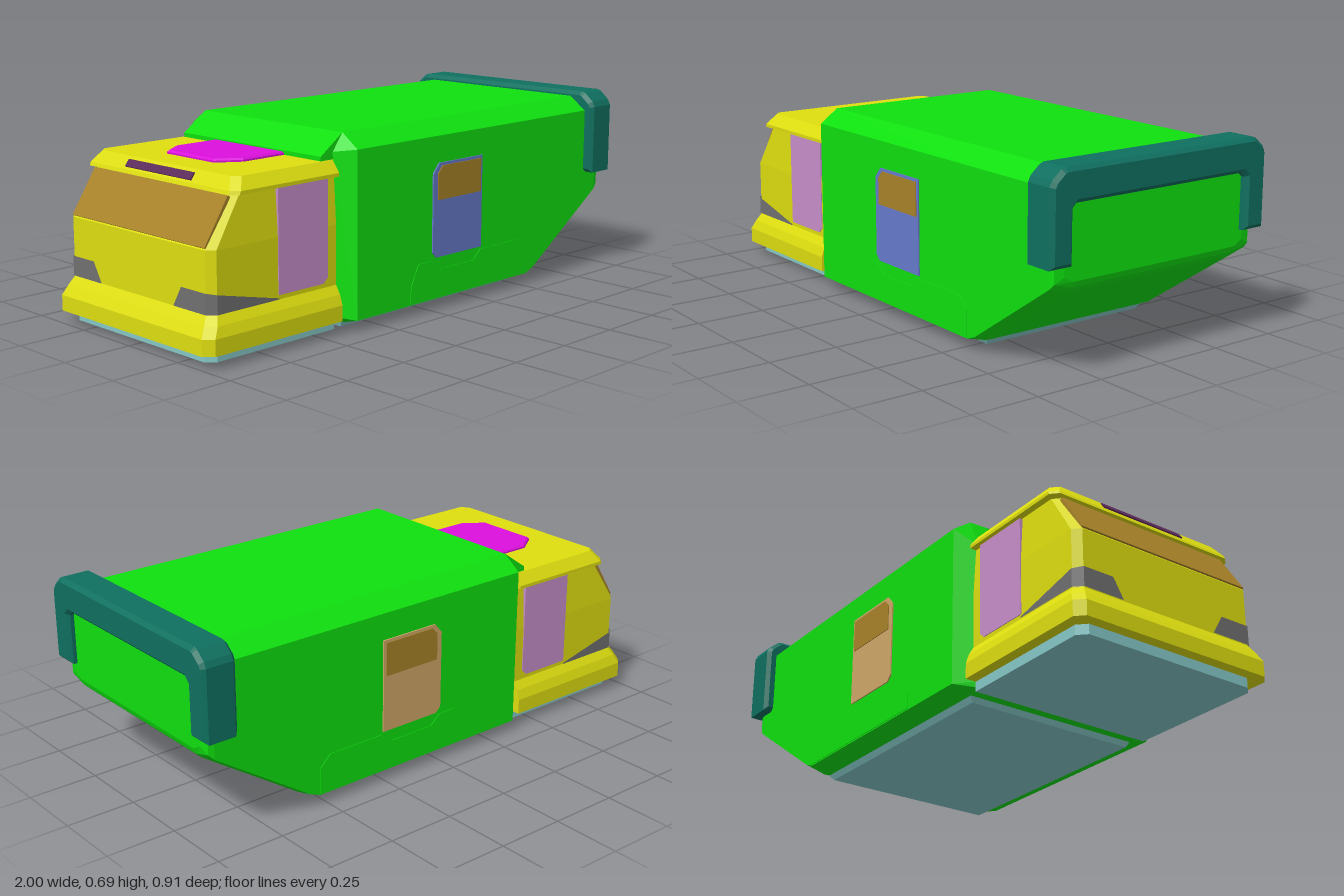
import * as THREE from 'three';

const mat = (color) => new THREE.MeshStandardMaterial({ color, flatShading: true });
const M = {
  green: mat(0x0fe00f), yellow: mat(0xdede10), teal: mat(0x0f7060), floor: mat(0x86c8c8),
  magenta: mat(0xdd10dd), lilac: mat(0xc88fcc), brown: mat(0xa88328), grey: mat(0x707070),
  blue: mat(0x667acc), tan: mat(0xd0a868), purple: mat(0x5a2a5a),
};

function add(parent, name, geometry, material) {
  const mesh = new THREE.Mesh(geometry, material);
  mesh.name = name;
  parent.add(mesh);
  return mesh;
}

// Skin a list of equal-length rings of [x, y, z] points, with flat end caps.
function loft(rings) {
  const pos = [];
  const tri = (a, b, c) => pos.push(...a, ...b, ...c);
  const n = rings[0].length;
  for (let r = 0; r < rings.length - 1; r++) {
    for (let i = 0; i < n; i++) {
      const j = (i + 1) % n, p = rings[r], q = rings[r + 1];
      tri(p[i], p[j], q[j]);
      tri(p[i], q[j], q[i]);
    }
  }
  const first = rings[0], last = rings[rings.length - 1];
  for (let i = 1; i < n - 1; i++) {
    tri(first[0], first[i + 1], first[i]);
    tri(last[0], last[i], last[i + 1]);
  }
  const g = new THREE.BufferGeometry();
  g.setAttribute('position', new THREE.Float32BufferAttribute(pos, 3));
  g.computeVertexNormals();
  return g;
}

// Chamfered upright section of the body at x.
const bodyRing = (x, w, top, bottom, inX = x) => [
  [x, top, -0.35], [x, top, 0.35], [x, top - 0.05, w], [x, bottom + 0.02, w],
  [inX, bottom, 0.345], [inX, bottom, -0.345], [x, bottom + 0.02, -w], [x, top - 0.05, -w],
];

// Level outline of the cab with chamfered front corners.
const cabRing = (y, front, w, c, back = -0.42) => [
  [front, y, w - c], [front + c, y, w], [back, y, w],
  [back, y, -w], [front + c, y, -w], [front, y, -w + c],
];

const extrude = (pts, depth, bevel = 0) =>
  new THREE.ExtrudeGeometry(new THREE.Shape(pts.map((p) => new THREE.Vector2(...p))), {
    depth, bevelEnabled: bevel > 0, bevelSize: bevel, bevelThickness: bevel, bevelOffset: -bevel, bevelSegments: 1,
  });

// Thin plate on one side wall; its outer face lies at |z| = z.
function sidePlate(parent, name, pts, z, side, material) {
  const depth = 0.02;
  add(parent, name, extrude(pts, depth), material).position.z = side > 0 ? z - depth : -z;
}

export function createModel() {
  const model = new THREE.Group();
  model.name = 'vehicle';

  // Rear body with chamfered edges and a rising tail
  const body = new THREE.Group();
  body.name = 'rearBody';
  model.add(body);
  add(body, 'bodyShell', loft([
    bodyRing(-0.415, 0.35, 0.61, 0.03),
    bodyRing(-0.37, 0.42, 0.67, 0.02),
    bodyRing(0.53, 0.42, 0.67, 0.02),
    bodyRing(0.57, 0.42, 0.67, 0.035),
    bodyRing(0.945, 0.42, 0.67, 0.285),
    bodyRing(0.965, 0.415, 0.66, 0.305),
    bodyRing(0.972, 0.38, 0.65, 0.325),
  ]), M.green);
  add(body, 'roofLip', extrude([[-0.47, 0.585], [-0.36, 0.585], [-0.36, 0.67], [-0.37, 0.67], [-0.47, 0.6]], 0.7), M.green)
    .position.z = -0.35;
  add(body, 'bodyFloor', loft([
    [0, -0.36, 0.52, 0.33], [0.025, -0.37, 0.54, 0.345],
  ].map(([y, x0, x1, w]) => [[x0, y, w], [x1, y, w], [x1, y, -w], [x0, y, -w]])), M.floor);

  // Side doors with windows, and shallow skirts
  for (const side of [1, -1]) {
    sidePlate(body, 'skirt', [[-0.11, 0.045], [0.53, 0.045], [0.53, 0.14], [0.49, 0.18], [0.26, 0.18], [0.22, 0.145],
      [0.04, 0.145], [0, 0.18], [-0.07, 0.18], [-0.105, 0.11]], 0.422, side, M.green);
    sidePlate(body, 'sideDoor', [[0.02, 0.19], [0.26, 0.19], [0.26, 0.525], [0.03, 0.525], [0, 0.49], [0, 0.21]],
      0.425, side, side > 0 ? M.blue : M.tan);
    sidePlate(body, 'doorWindow', [[0.022, 0.395], [0.25, 0.395], [0.25, 0.515], [0.045, 0.515], [0.022, 0.49]],
      0.428, side, M.brown);
  }

  // Arch frame over the tail
  const half = [[0.365, 0.38], [0.455, 0.38], [0.455, 0.635], [0.445, 0.655], [0.41, 0.685], [0.395, 0.69]];
  const inner = [[0.35, 0.575], [0.365, 0.56]];
  const flip = (pts) => pts.map(([z, y]) => [-z, y]).reverse();
  const arch = add(model, 'tailArch', extrude([...half, ...flip(half), ...flip(inner), ...inner], 0.1, 0.014), M.teal);
  arch.rotation.y = Math.PI / 2;
  arch.position.x = 0.886;

  // Cab: floor, bumper, walls and roof
  const cab = new THREE.Group();
  cab.name = 'cab';
  model.add(cab);
  add(cab, 'cabFloor', loft([cabRing(0.01, -0.96, 0.36, 0.03), cabRing(0.05, -0.96, 0.36, 0.03)]), M.floor);
  add(cab, 'bumper', loft([
    cabRing(0.045, -1, 0.4, 0.03), cabRing(0.1, -1, 0.4, 0.03),
    cabRing(0.135, -0.98, 0.388, 0.03), cabRing(0.165, -0.96, 0.37, 0.025),
  ]), M.yellow);
  add(cab, 'cabWalls', loft([
    cabRing(0.16, -0.96, 0.37, 0.025), cabRing(0.37, -0.96, 0.37, 0.025), cabRing(0.545, -0.847, 0.36, 0.025),
  ]), M.yellow);
  add(cab, 'cabRoof', loft([
    cabRing(0.533, -0.875, 0.385, 0.025), cabRing(0.545, -0.87, 0.385, 0.025), cabRing(0.585, -0.84, 0.355, 0.025),
  ]), M.yellow);

  // Windscreen and roof vent, each laid on its slope
  const windscreen = add(cab, 'windscreen', new THREE.BoxGeometry(0.012, 0.18, 0.69), M.brown);
  windscreen.position.set(-0.908, 0.45, 0);
  windscreen.rotation.z = -Math.atan2(0.113, 0.175);
  const vent = add(cab, 'roofVent', new THREE.BoxGeometry(0.008, 0.028, 0.34), M.purple);
  vent.position.set(-0.857, 0.563, 0);
  vent.rotation.z = -Math.atan2(0.03, 0.04);

  // Roof hatch
  const hatch = add(cab, 'roofHatch', extrude([[-0.47, -0.175], [-0.47, 0.175], [-0.65, 0.175], [-0.73, 0.12],
    [-0.73, -0.12], [-0.65, -0.175]].reverse(), 0.02, 0.006), M.magenta);
  hatch.rotation.x = -Math.PI / 2;
  hatch.position.y = 0.571;

  // Cab doors and wraparound lamps
  for (const side of [1, -1]) {
    sidePlate(cab, 'cabDoor', [[-0.68, 0.18], [-0.48, 0.18], [-0.46, 0.2], [-0.46, 0.53], [-0.68, 0.53]],
      0.373, side, M.lilac);
    const path = [[-0.964, 0.19, 0.167], [-0.964, 0.23, 0.235], [-0.964, 0.347, 0.235],
      [-0.937, 0.374, 0.23], [-0.68, 0.374, 0.17]];
    add(cab, 'cornerLamp', loft(path.map(([x, z, top]) => [[x, 0.166, z * side], [x, top, z * side]])), M.grey);
  }
  return model;
}
